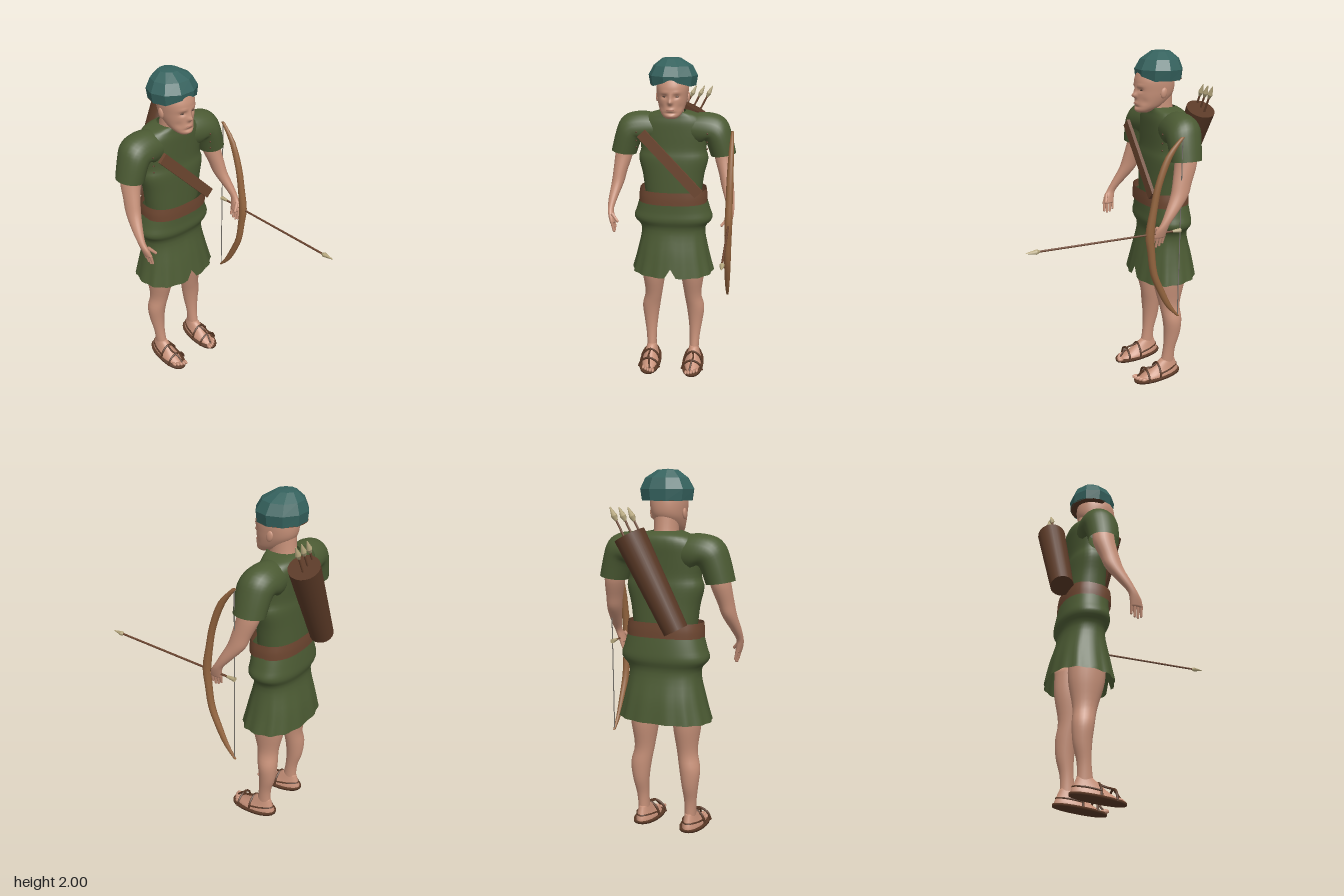
import * as THREE from 'three';

const mat = (name, color, side = THREE.FrontSide, flatShading = false) =>
  Object.assign(new THREE.MeshStandardMaterial({ color, side, flatShading }), { name });

export function createModel() {
  const model = new THREE.Group();
  const D = THREE.DoubleSide;
  const green = mat('tunicGreen', 0x4b5a33, D);
  const teal = mat('hatTeal', 0x35625e, D, true);
  const skin = mat('skin', 0xc79179);
  const lip = mat('lip', 0xa8705e);
  const leather = mat('beltLeather', 0x6d4630, D);
  const dark = mat('darkLeather', 0x5a3926, D);
  const wood = mat('bowWood', 0x94653f);
  const bone = mat('arrowTip', 0xb9aa80);
  const cord = mat('bowString', 0x77736c);
  const eyeDark = mat('eyeDark', 0x4a362c);

  const add = (name, geo, material, parent = model) => {
    const m = new THREE.Mesh(geo, material);
    m.name = name;
    parent.add(m);
    return m;
  };

  // Skin over stacked ellipses [cx, cy, cz, rx, rz, tiltX, tiltZ], smoothed between rings
  function loft(rings, { seg = 24, sub = 4, caps = true, pow = 1, rule } = {}) {
    const src = (rings[0][1] < rings.at(-1)[1] ? rings : [...rings].reverse())
      .map(r => [...r, 0, 0].slice(0, 7));
    const rows = [];
    for (let i = 0; i < src.length - 1; i++) {
      const [a, b, c, d] = [-1, 0, 1, 2].map(k => src[Math.min(Math.max(i + k, 0), src.length - 1)]);
      for (let k = 0; k < sub; k++) {
        const t = k / sub;
        rows.push(b.map((v, n) => v + 0.5 * t * (c[n] - a[n] + t * (2 * a[n] - 5 * v + 4 * c[n] - d[n]
          + t * (3 * (v - c[n]) + d[n] - a[n])))));
      }
    }
    rows.push(src.at(-1));
    if (caps) {
      const tip = r => [r[0], r[1], r[2], 0, 0, 0, 0];
      rows.unshift(tip(rows[0]));
      rows.push(tip(rows.at(-1)));
    }
    const pos = [], idx = [], p = new THREE.Vector3();
    const bend = v => Math.sign(v) * Math.abs(v) ** pow;
    rows.forEach(([cx, cy, cz, rx, rz, tx, tz], i) => {
      for (let j = 0; j < seg; j++) {
        const a = j / seg * Math.PI * 2, dx = rx * bend(Math.cos(a)), dz = rz * bend(Math.sin(a));
        p.set(cx + dx, cy + tx * dx + tz * dz, cz + dz);
        if (rule) rule(p, a, cz);
        pos.push(p.x, p.y, p.z);
        if (i === rows.length - 1) continue;
        const q = i * seg + j, r = i * seg + (j + 1) % seg;
        idx.push(q, q + seg, r, r, q + seg, r + seg);
      }
    });
    const g = new THREE.BufferGeometry();
    g.setAttribute('position', new THREE.Float32BufferAttribute(pos, 3));
    g.setIndex(idx);
    g.computeVertexNormals();
    return g;
  }
  // Ring from [y, half width, front z, back z]
  const span = ([y, w, f, b, tz = 0]) => [0, y, (f + b) / 2, w, (f - b) / 2, 0, tz];

  // Straight rod between two points
  function rod(name, a, b, ra, rb, material, parent = model, seg = 8) {
    const p = new THREE.Vector3(...a), q = new THREE.Vector3(...b), dir = q.clone().sub(p);
    const m = add(name, new THREE.CylinderGeometry(rb, ra, dir.length(), seg), material, parent);
    m.position.copy(p).add(q).multiplyScalar(0.5);
    m.quaternion.setFromUnitVectors(new THREE.Vector3(0, 1, 0), dir.normalize());
    return m;
  }
  const ball = (name, x, y, z, sx, sy, sz, material, parent = model) => {
    const m = add(name, new THREE.SphereGeometry(1, 12, 8), material, parent);
    m.position.set(x, y, z);
    m.scale.set(sx, sy, sz);
    return m;
  };
  const tube = (name, pts, r, material, parent, closed = false) => add(name, new THREE.TubeGeometry(
    new THREE.CatmullRomCurve3(pts.map(p => new THREE.Vector3(...p)), closed), 24, r, 6, closed), material, parent);

  // Tunic body, skirt and belt
  add('tunic', loft([[1.18, .175, -.235, -.46], [1.3, .19, -.235, -.455], [1.4, .213, -.237, -.452],
    [1.46, .2, -.245, -.447], [1.55, .21, -.245, -.452], [1.62, .2, -.245, -.457], [1.66, .165, -.25, -.45],
    [1.68, .115, -.25, -.43], [1.69, .075, -.242, -.41]].map(span), { seg: 32, pow: .85, caps: false }), green);
  add('skirt', loft([[.675, .258, -.175, -.53, -.08], [.8, .226, -.2, -.51, -.04], [.95, .201, -.232, -.475],
    [1.02, .245, -.212, -.49], [1.08, .23, -.215, -.485], [1.17, .203, -.215, -.47]].map(span), {
    seg: 64, pow: .85, caps: false,
    rule: (p, a, cz) => {
      const low = Math.max(0, (.95 - p.y) / .28);
      const k = 1 + low * .022 * Math.cos(14 * a);
      p.x *= k;
      p.z = cz + (p.z - cz) * k;
      if (p.z > cz) p.y += .06 * low * Math.exp(-((p.x / .02) ** 2));
    },
  }), green);
  add('belt', loft([[1.135, .213, -.203, -.478, -.05], [1.175, .212, -.203, -.477, -.05],
    [1.215, .206, -.205, -.473, -.05]].map(span), { seg: 32, pow: .8, caps: false }), leather);

  // Chest strap with small studs beside it
  const strap = add('chestStrap', new THREE.BoxGeometry(.5, .062, .02), leather);
  strap.position.set(-.005, 1.39, -.2);
  strap.rotation.z = Math.atan2(-.36, .345);
  for (const s of [-1, 1]) for (const y of [1.48, 1.52, 1.57])
    ball('stud', s * .212, y, -.235, .005, .005, .005, dark);

  // Neck and head; the face is pushed out and in by soft bumps
  add('neck', loft([[1.6, .075, -.25, -.42], [1.68, .064, -.25, -.4], [1.78, .066, -.25, -.39]].map(span)), skin);
  const bump = (p, x, y, w, h) => Math.exp(-(((Math.abs(p.x) - x) / w) ** 2) - ((p.y - y) / h) ** 2);
  add('head', loft([[1.662, .032, -.185, -.245], [1.675, .05, -.174, -.275], [1.7, .068, -.172, -.33],
    [1.74, .082, -.173, -.375], [1.78, .09, -.172, -.398], [1.84, .095, -.17, -.402],
    [1.9, .085, -.19, -.39]].map(span), {
    seg: 72, sub: 7, pow: .92,
    rule: (p, a, cz) => {
      if (p.z < cz + .03) return;
      p.z += .024 * bump(p, 0, 1.757, .012, .014) + .013 * bump(p, 0, 1.782, .009, .022)
        + .007 * bump(p, 0, 1.713, .022, .011) + .006 * bump(p, 0, 1.676, .025, .012)
        + .005 * bump(p, .035, 1.812, .025, .008) - .011 * bump(p, .036, 1.789, .017, .011)
        - .006 * bump(p, 0, 1.695, .03, .006) - .006 * bump(p, .055, 1.725, .016, .02);
    },
  }), skin);
  ball('mouth', 0, 1.713, -.17, .024, .004, .008, lip);

  // Hat of flat panels, arched over the brow, with a dark band beneath
  add('hat', loft([[0, 1.842, -.31, .136, .132], [0, 1.9, -.31, .146, .136], [0, 1.955, -.315, .116, .11],
    [-.01, 1.995, -.325, .055, .055]], {
    seg: 10, sub: 1, caps: false,
    rule: p => { if (p.y < 1.85 && p.z > -.25) p.y += .04 * Math.max(0, 1 - Math.abs(p.x) / .1); },
  }), teal);
  const crown = add('hatCrown', new THREE.ConeGeometry(.056, .005, 10), teal);
  crown.position.set(-.01, 1.9975, -.325);
  crown.rotation.y = Math.PI / 2;
  const band = add('hatBand', new THREE.RingGeometry(.07, .133, 24, 1, -.35, Math.PI + .7), dark);
  band.rotation.x = -Math.PI / 2;
  band.position.set(0, 1.845, -.31);

  for (const s of [-1, 1]) {
    const side = s > 0 ? 'left' : 'right';
    const mir = rings => rings.map(r => r.map((v, i) => (i === 0 || i === 5) ? v * s : v));
    // Face details
    ball(side + 'Ear', s * .092, 1.775, -.3, .01, .03, .02, skin).rotation.x = -.2;
    ball(side + 'Eye', s * .036, 1.789, -.188, .012, .004, .006, eyeDark);

    // Short sleeve
    add(side + 'Sleeve', loft(mir([[.305, 1.432, -.335, .076, .088, .15], [.275, 1.53, -.337, .077, .097, .35],
      [.247, 1.57, -.342, .073, .1, .85], [.19, 1.58, -.347, .048, .1, 2], [.11, 1.585, -.347, .028, .09, 3.2]]),
    { caps: false }), green);

    // Arm and hand
    const arm = new THREE.Group();
    arm.name = side + 'Arm';
    model.add(arm);
    add('arm', loft(mir([[.295, 1.5, -.335, .05, .06], [.305, 1.42, -.332, .054, .064], [.325, 1.32, -.303, .043, .056],
      [.338, 1.25, -.28, .038, .052], [.357, 1.17, -.227, .028, .038], [.366, 1.11, -.185, .019, .028],
      [.36, 1.07, -.165, .018, .034], [.35, 1.03, -.155, .016, .036]])), skin, arm);
    for (let f = 0; f < 4; f++) {
      const z = -.128 - f * .019, len = [.045, .055, .05, .036][f];
      rod('finger', [s * .352, 1.04, z], [s * .34, 1.03 - len, z + .004], .0095, .007, skin, arm);
      ball('fingertip', s * .34, 1.03 - len, z + .004, .007, .008, .007, skin, arm);
    }
    rod('thumb', [s * .352, 1.085, -.145], [s * .316, 1.045, -.125], .011, .008, skin, arm);
    ball('thumbTip', s * .316, 1.045, -.125, .008, .01, .008, skin, arm);

    // Leg and foot
    const leg = new THREE.Group();
    leg.name = side + 'Leg';
    model.add(leg);
    add('leg', loft(mir([[.128, .8, -.35, .08, .105], [.126, .65, -.35, .075, .1], [.128, .5, -.355, .056, .066],
      [.146, .4, -.367, .058, .059], [.148, .3, -.368, .046, .05], [.145, .2, -.354, .034, .038],
      [.142, .1, -.345, .031, .045], [.141, .05, -.345, .033, .06]])), skin, leg);
    add('foot', loft(mir([[.142, .024, -.28, .056, .14, 0, -.1], [.142, .045, -.29, .053, .128, 0, -.1],
      [.142, .078, -.318, .041, .09, 0, -.08], [.142, .13, -.348, .028, .042]])), skin, leg);
    for (let t = 0; t < 5; t++)
      ball('toe', s * (.108 + t * .017), .026, -.14 - t * t * .0022, .0095, .012, .02, skin, leg);

    // Sandal
    add('sandalSole', loft([[s * .142, .02, -.275, .07, .152, 0, -.11], [s * .142, .034, -.275, .07, .152, 0, -.11]],
      { sub: 1, pow: .9 }), dark, leg);
    for (const [z, top, w, y0] of [[-.195, .085, .068, .02], [-.275, .108, .062, .03]])
      tube('sandalStrap', [[-w, y0, z], [-w * .72, top * .72, z], [0, top, z], [w * .72, top * .72, z], [w, y0, z]]
        .map(([x, y, zz]) => [x + s * .142, y, zz]), .007, dark, leg);
    tube('heelStrap', [[-.06, .06, -.275], [-.042, .075, -.36], [0, .08, -.41], [.042, .075, -.36], [.06, .06, -.275]]
      .map(([x, y, z]) => [x + s * .142, y, z]), .005, dark, leg);
    tube('toeStrap', [[0, .105, -.275], [.006, .09, -.23], [0, .085, -.195], [-.012, .035, -.145]]
      .map(([x, y, z]) => [x * s + s * .142, y, z]), .006, dark, leg);
  }

  // Quiver with three arrows
  const quiver = new THREE.Group();
  quiver.name = 'quiver';
  model.add(quiver);
  rod('quiverCase', [-.127, 1.2, -.512], [.117, 1.675, -.525], .066, .083, dark, quiver, 20);
  for (const x of [.118, .168, .218]) {
    const at = d => [x - .46 * d, 1.812 - .888 * d, -.535];
    rod('quiverArrowShaft', at(.25), at(.06), .006, .006, leather, quiver);
    rod('quiverArrowHead', at(.05), at(0), .016, .003, bone, quiver, 6);
    rod('quiverArrowNeck', at(.075), at(.05), .008, .016, bone, quiver, 6);
  }

  // Bow, string and nocked arrow
  const bx = .357;
  add('bow', loft([[bx, .53, -.287, .007, .008], [bx, .6, -.228, .012, .018], [bx, .7, -.175, .017, .022],
    [bx, .82, -.125, .02, .021], [bx, .95, -.106, .021, .022], [bx, 1.06, -.096, .023, .026],
    [bx, 1.2, -.116, .021, .021], [bx, 1.33, -.142, .02, .02], [bx, 1.48, -.2, .015, .021],
    [bx, 1.58, -.28, .008, .012]], { seg: 10, sub: 3 }), wood);
  rod('bowString', [bx, .535, -.284], [bx, 1.575, -.28], .003, .003, cord);
  rod('arrowShaft', [bx, 1.056, -.28], [bx, 1.056, .56], .006, .006, leather);
  rod('arrowHead', [bx, 1.056, .55], [bx, 1.056, .61], .015, .002, bone, model, 6);
  rod('arrowHeadBase', [bx, 1.056, .535], [bx, 1.056, .55], .007, .015, bone, model, 6);
  rod('arrowTail', [bx, 1.056, -.285], [bx, 1.056, -.235], .014, .008, bone, model, 6);
  return model;
}
